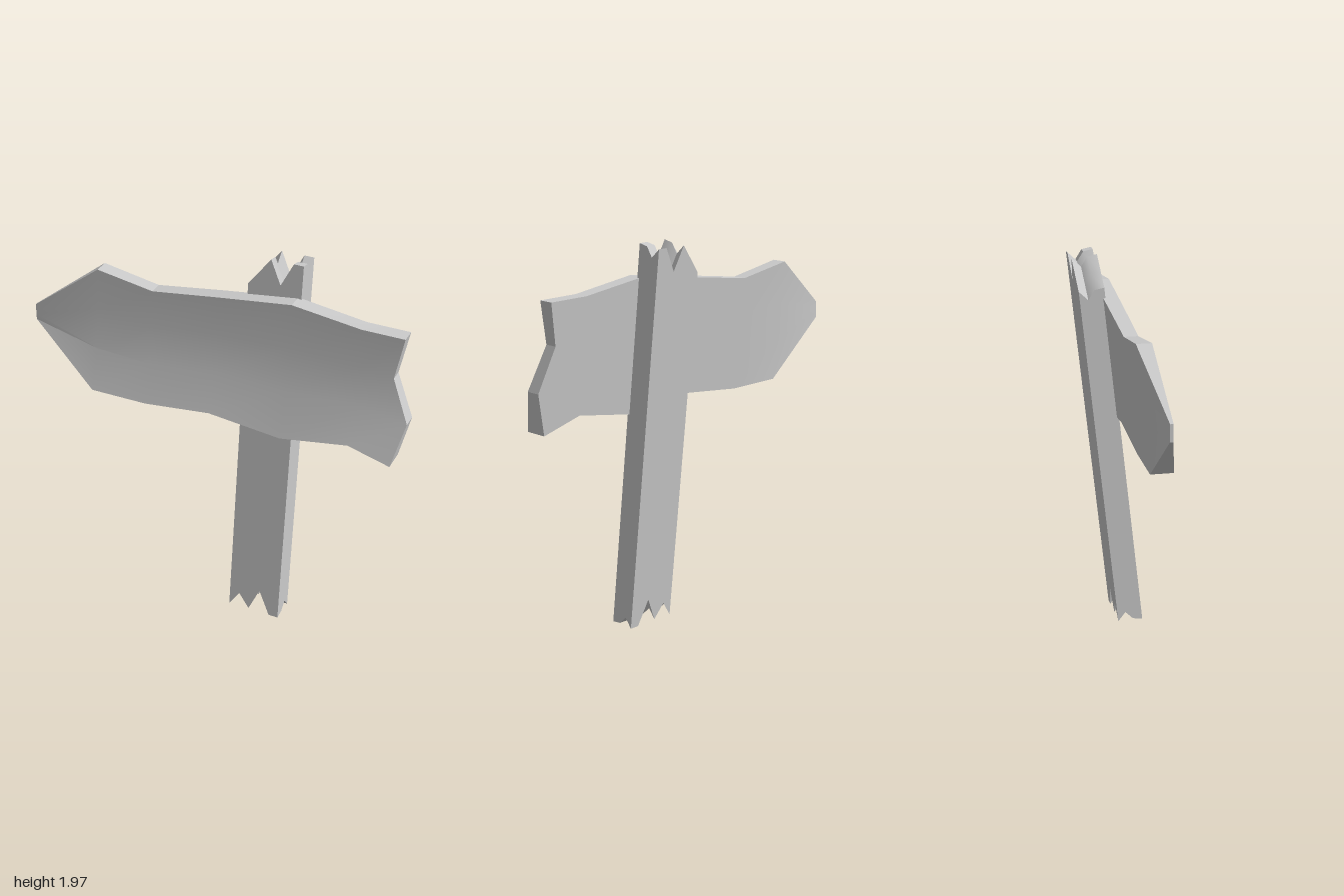
import * as THREE from 'three';
import { toCreasedNormals } from 'three/addons/utils/BufferGeometryUtils.js';

const LEAN = 0.111; // backward shift per unit of height
const ROWS = [0, 1, 2, 3];

// Skins rings of 8 points (4 out, 4 back) running from -x to +x and closes both ends.
function loft(rings, crease) {
  const pos = [];
  const quad = (a, b, c, d) => [a, b, c, a, c, d].forEach((p) => pos.push(...p));
  for (let i = 0; i < rings.length - 1; i++) {
    const a = rings[i], b = rings[i + 1];
    for (let j = 0; j < 8; j++) {
      const k = (j + 1) % 8;
      quad(a[j], b[j], b[k], a[k]);
    }
  }
  const l = rings[0], r = rings[rings.length - 1];
  for (let j = 0; j < 3; j++) {
    quad(r[j], r[7 - j], r[6 - j], r[j + 1]);
    quad(l[j], l[j + 1], l[6 - j], l[7 - j]);
  }
  const geometry = new THREE.BufferGeometry();
  geometry.setAttribute('position', new THREE.Float32BufferAttribute(pos, 3));
  return toCreasedNormals(geometry, crease);
}

// Leaning post with splintered top and bottom
function postGeometry() {
  // x, bottom height, top height
  const columns = [
    [0.13, 0.0, 1.82], [0.183, 0.08, 1.89], [0.24, 0.005, 1.965],
    [0.295, 0.13, 1.845], [0.355, 0.0, 1.965], [0.405, 0.0, 1.965],
  ];
  const depth = [0, 0.05, 0.087, 0.13];
  const drop = [0, 0.01, 0.06, 0.015];
  const rise = [0.005, 0.01, 0.05, 0];
  const point = (x, y, k) => [x, y, 0.175 - LEAN * y - depth[k]];
  return loft(columns.map(([x, bottom, top]) => [
    ...ROWS.map((k) => point(x, top - drop[k], k)),
    ...ROWS.map((k) => point(x, bottom + rise[3 - k], 3 - k)),
  ]), 0.6);
}

// Arrow board: curved front, flat leaning back, tapered tip and notched tail
function boardGeometry() {
  // x, bottom height, top height
  const columns = [
    [-1, 1.395, 1.48], [-0.645, 1.115, 1.75], [-0.345, 1.115, 1.7],
    [0.005, 1.155, 1.75], [0.385, 1.115, 1.8], [0.735, 1.175, 1.755],
    [0.95, 1.115, 1.755],
  ];
  const frontZ = [0.155, 0.09, 0.056, 0.045];
  const tailX = [0.95, 1, 0.91, 0.95];
  return loft(columns.map(([x, bottom, top], i) => {
    const tip = i === 0, tail = i === columns.length - 1;
    const point = (j, back) => {
      const y = bottom + (top - bottom) * j / 3;
      const z = back ? (tip ? 0.05 : 0.04 - LEAN * (y - 1.115)) : (tip ? 0.066 : frontZ[j]);
      return [tail ? tailX[j] : x, y, z];
    };
    return [...ROWS.map((j) => point(j, false)), ...ROWS.map((j) => point(3 - j, true))];
  }), 0.2);
}

export function createModel() {
  const group = new THREE.Group();
  group.name = 'signpost';
  const material = new THREE.MeshStandardMaterial({ color: 0xcccccc });
  const add = (name, geometry) => {
    const mesh = new THREE.Mesh(geometry, material);
    mesh.name = name;
    group.add(mesh);
  };
  add('post', postGeometry());
  add('arrowBoard', boardGeometry());
  return group;
}
